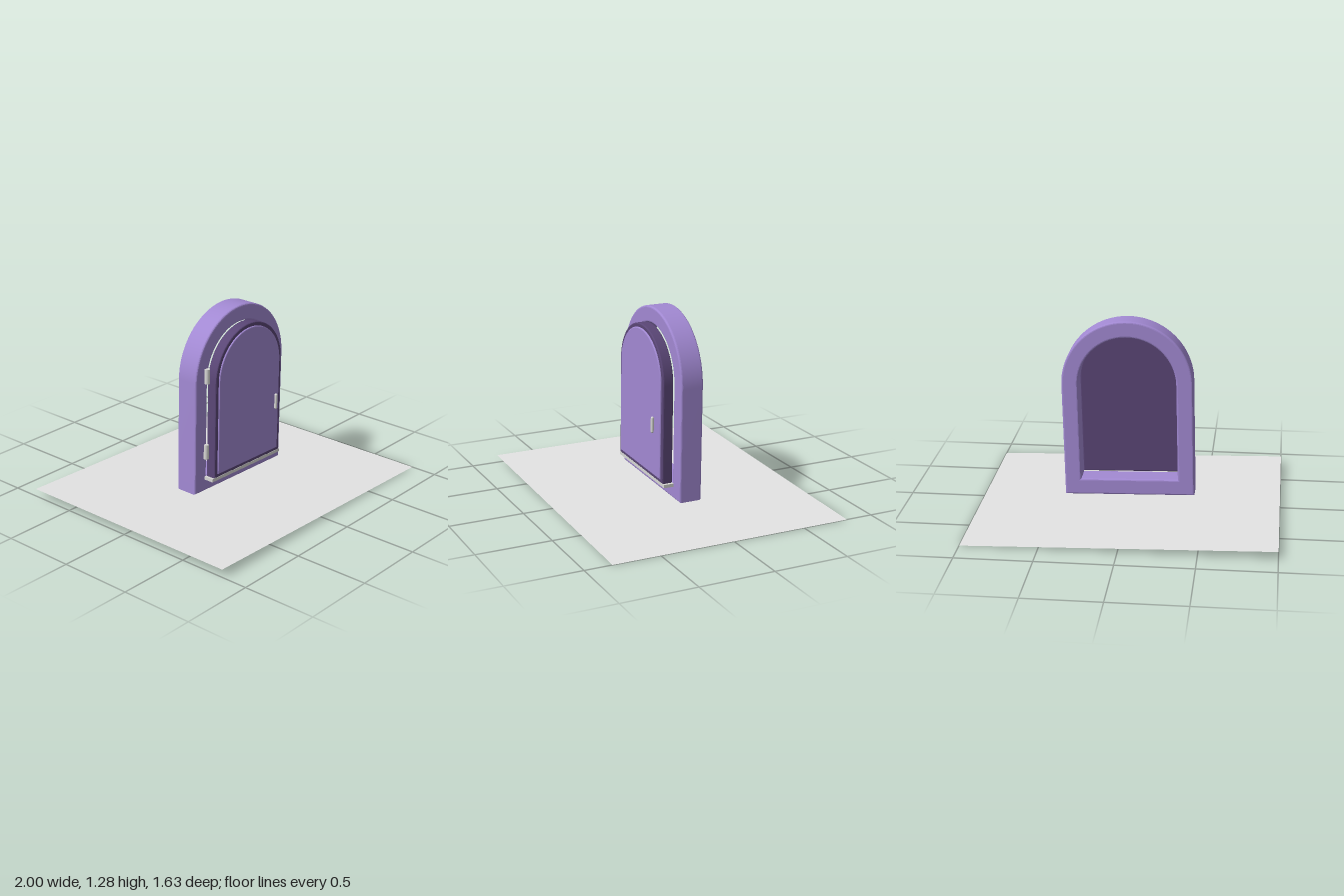
import * as THREE from 'three';
import { toCreasedNormals } from 'three/addons/utils/BufferGeometryUtils.js';

const SPRING = 0.767; // height where every arch begins
const TILT = -0.0262; // everything leans slightly

function material(name, color) {
  const m = new THREE.MeshStandardMaterial({ color });
  m.name = name;
  return m;
}

// Outline with a straight base and a round top
function traceArch(path, r, bottom) {
  path.moveTo(-r, bottom);
  path.lineTo(r, bottom);
  path.lineTo(r, SPRING);
  path.absarc(0, SPRING, r, 0, Math.PI, false);
  path.lineTo(-r, bottom);
  return path;
}

// Bevelled arch slab between two depths, optionally with an arched opening
function archSlab(r, bottom, z0, z1, bevel, hole) {
  const shape = traceArch(new THREE.Shape(), r, bottom);
  if (hole) shape.holes.push(traceArch(new THREE.Path(), hole.r, hole.bottom));
  const geo = new THREE.ExtrudeGeometry(shape, {
    depth: z1 - z0 - 2 * bevel, curveSegments: 40,
    bevelSize: bevel, bevelThickness: bevel, bevelOffset: -bevel, bevelSegments: 3,
  });
  geo.translate(0, 0, z0 + bevel);
  return toCreasedNormals(geo, 0.2);
}

export function createModel() {
  const lilac = material('lilac', 0xa289d3);
  const plum = material('dark plum', 0x5a4676);
  const metal = material('pale metal', 0xd8d8d5);
  const stone = material('ground grey', 0xe4e4e4);
  stone.side = THREE.DoubleSide;

  const model = new THREE.Group();
  model.name = 'archedDoor';
  const door = new THREE.Group();
  door.name = 'door';
  door.position.y = 0.077;
  door.rotation.z = TILT;
  model.add(door);

  const add = (parent, name, geo, mat, x = 0, y = 0, z = 0) => {
    const mesh = new THREE.Mesh(geo, mat);
    mesh.name = name;
    mesh.position.set(x, y, z);
    parent.add(mesh);
    return mesh;
  };

  // Thin ground sheet, sloping down towards +x
  const sheet = new THREE.PlaneGeometry(2, 1.635).rotateX(-Math.PI / 2);
  add(model, 'ground', sheet, stone, 0, 0.0262, 0).rotation.z = TILT;

  // Frame, door leaf and raised front panel
  add(door, 'frame', archSlab(0.432, 0, -0.065, 0.09, 0.012, { r: 0.323, bottom: 0.11 }), lilac);
  add(door, 'doorLeaf', archSlab(0.328, 0.107, 0.094, 0.166, 0.008), plum);
  add(door, 'doorPanel', archSlab(0.302, 0.131, 0.15, 0.175, 0.008), lilac);

  // Sill under the leaf
  add(door, 'sill', new THREE.BoxGeometry(0.685, 0.022, 0.07), metal, 0, 0.094, 0.125);

  // Hinges on the right-hand edge of the model
  for (const y of [0.283, 0.805]) {
    add(door, 'hinge', new THREE.CylinderGeometry(0.017, 0.017, 0.1, 16), metal, -0.339, y, 0.1);
  }

  // Handle bar
  add(door, 'handle', new THREE.CapsuleGeometry(0.01, 0.09, 6, 16), metal, 0.242, 0.492, 0.2);

  return model;
}
